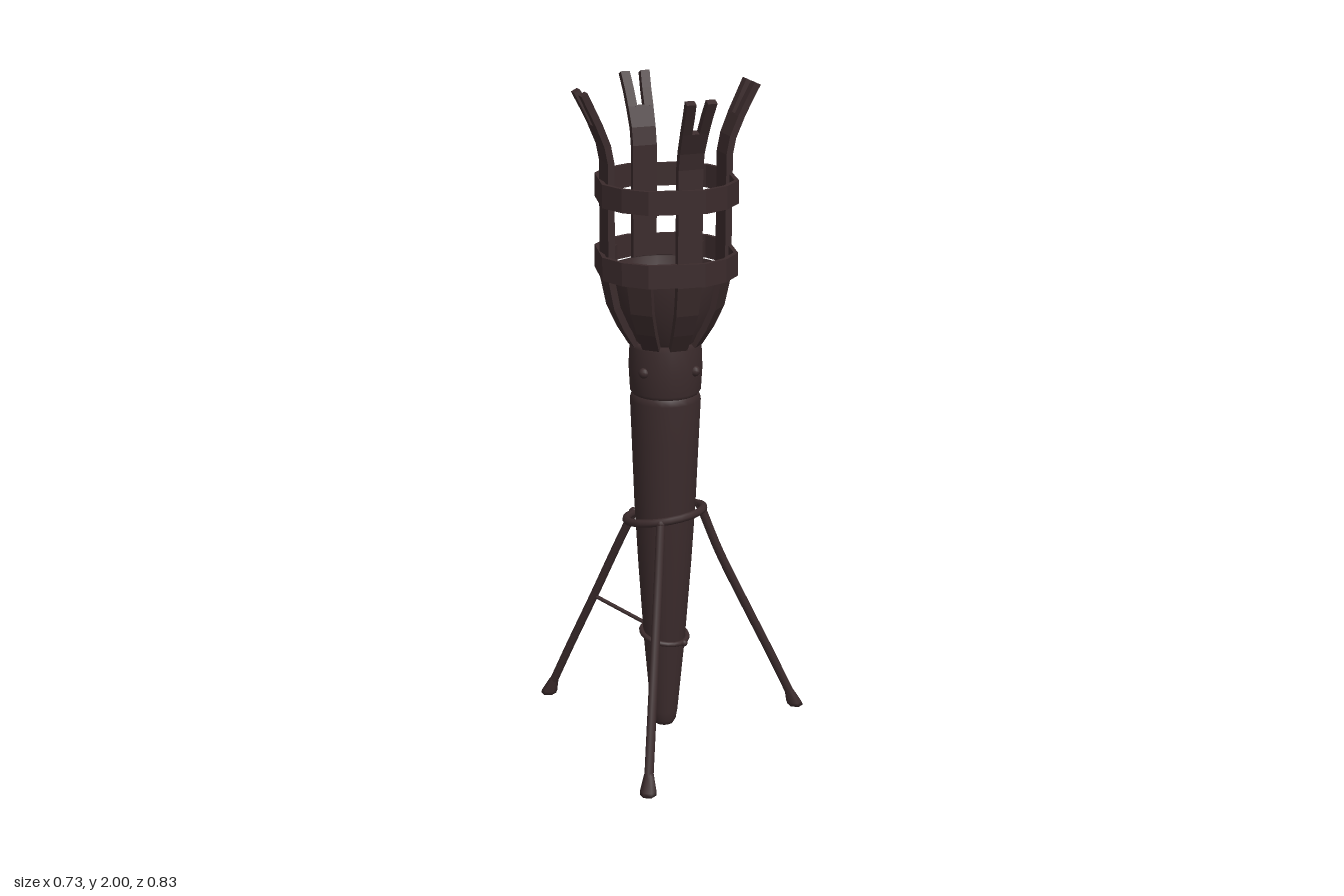
import * as THREE from 'three';

const iron = new THREE.MeshStandardMaterial({ color: 0x3b2b2c });
iron.name = 'dark iron';
const V = (x, y, z) => new THREE.Vector3(x, y, z);

function add(parent, name, geometry) {
  const mesh = new THREE.Mesh(geometry, iron);
  mesh.name = name;
  parent.add(mesh);
  return mesh;
}

// Bent flat bar. Each section is [radius, height, sideways centre, half width].
function bentBar(sections, thickness) {
  const rows = sections.map(([r, y, c, w], i) => {
    const a = sections[Math.max(i - 1, 0)], b = sections[Math.min(i + 1, sections.length - 1)];
    const len = Math.hypot(b[0] - a[0], b[1] - a[1]);
    const nx = (b[1] - a[1]) / len * thickness / 2, ny = -(b[0] - a[0]) / len * thickness / 2;
    return [V(r - nx, y - ny, c - w), V(r + nx, y + ny, c - w), V(r + nx, y + ny, c + w), V(r - nx, y - ny, c + w)];
  });
  const pts = [];
  const quad = (a, b, c, d) => pts.push(a, b, c, a, c, d);
  quad(...rows[0]);
  for (let i = 0; i < rows.length - 1; i++) {
    for (let k = 0; k < 4; k++) {
      const n = (k + 1) % 4;
      quad(rows[i][k], rows[i + 1][k], rows[i + 1][n], rows[i][n]);
    }
  }
  quad(...rows[rows.length - 1].slice().reverse());
  const g = new THREE.BufferGeometry().setFromPoints(pts);
  g.computeVertexNormals();
  return g;
}

// Flat hoop with long sides on the diagonals
function hoopGeometry(outer, inner, height) {
  const ring = (r) => [0, 1, 3, 4, 5, 7, 8, 9, 11, 12, 13, 15].map((k) =>
    new THREE.Vector2(Math.cos(k * Math.PI / 8) * r, Math.sin(k * Math.PI / 8) * r));
  const shape = new THREE.Shape(ring(outer));
  shape.holes.push(new THREE.Path(ring(inner)));
  return new THREE.ExtrudeGeometry(shape, { depth: height, bevelEnabled: false }).rotateX(-Math.PI / 2);
}

const lathe = (points, n) => new THREE.LatheGeometry(points.map(([r, y]) => new THREE.Vector2(r, y)), n);

export function createModel() {
  const model = new THREE.Group();
  model.name = 'standingTorch';
  const torch = new THREE.Group();
  torch.name = 'torch';
  torch.position.x = 0.11;
  model.add(torch);

  // Tapered handle and collar
  add(torch, 'handle', lathe([[0, 0.025], [0.028, 0.026], [0.036, 0.04], [0.041, 0.07], [0.062, 0.3],
    [0.08, 0.55], [0.092, 0.75], [0.1, 0.95], [0.105, 1.07], [0.1, 1.085], [0.097, 1.09]], 24));
  add(torch, 'collar', lathe([[0.097, 1.088], [0.105, 1.1], [0.109, 1.17], [0.106, 1.235], [0.1, 1.25], [0, 1.255]], 24));
  for (let i = 0; i < 4; i++) {
    const rivet = add(torch, 'rivet', new THREE.SphereGeometry(0.016, 10, 8));
    rivet.position.set(Math.cos(i * Math.PI / 2) * 0.106, 1.17, Math.sin(i * Math.PI / 2) * 0.106);
  }

  // Fire bowl
  add(torch, 'bowl', lathe([[0.085, 1.24], [0.105, 1.26], [0.15, 1.36], [0.168, 1.46], [0.16, 1.46],
    [0.142, 1.365], [0.1, 1.29], [0, 1.265]], 24));

  // Eight staves, every other one tall and forked
  const lower = [[0.098, 1.245, 0, 0.026], [0.132, 1.3, 0, 0.03], [0.162, 1.365, 0, 0.034], [0.18, 1.45, 0, 0.037]];
  for (let i = 0; i < 8; i++) {
    const stave = new THREE.Group();
    stave.name = i % 2 ? 'shortStave' : 'forkedStave';
    stave.rotation.y = -(33 + i * 45) * Math.PI / 180;
    torch.add(stave);
    if (i % 2) {
      add(stave, 'staveBar', bentBar([...lower, [0.182, 1.505, 0, 0.039]], 0.018));
      continue;
    }
    add(stave, 'staveBar', bentBar([...lower, [0.181, 1.79, 0, 0.037], [0.191, 1.84, 0, 0.037], [0.216, 1.9, 0, 0.039]], 0.02));
    for (const s of [-1, 1]) {
      add(stave, 'prong', bentBar([[0.214, 1.896, s * 0.025, 0.014], [0.238, 1.945, s * 0.027, 0.014],
        [0.262, 1.992, s * 0.031, 0.014]], 0.02));
    }
  }

  // Hoops
  for (const y of [1.453, 1.665]) add(torch, 'hoop', hoopGeometry(0.213, 0.2, 0.068)).position.y = y;

  // Tilted rings around the handle
  const ring = (name, r, tube, y, tilt, x) => {
    const holder = new THREE.Group();
    holder.name = name;
    holder.position.set(x, y, 0);
    holder.rotation.z = tilt;
    torch.add(holder);
    add(holder, name + 'Band', new THREE.TorusGeometry(r, tube, 8, 24).rotateX(Math.PI / 2));
  };
  ring('standRing', 0.117, 0.012, 0.708, 0.2, 0);
  ring('braceRing', 0.07, 0.008, 0.32, -0.2, 0);

  // Three legs with flared feet
  for (const deg of [180, 60, -60]) {
    const leg = new THREE.Group();
    leg.name = 'leg';
    leg.rotation.y = -deg * Math.PI / 180;
    torch.add(leg);
    const top = deg === 180 ? 0.685 : 0.715;
    const path = new THREE.CatmullRomCurve3([V(0.117, top, 0), V(0.18, 0.56, 0), V(0.27, 0.375, 0), V(0.36, 0.195, 0), V(0.44, 0.03, 0)]);
    add(leg, 'legRod', new THREE.TubeGeometry(path, 16, 0.0135, 8));
    add(leg, 'legTop', new THREE.SphereGeometry(0.0145, 10, 8)).position.set(0.117, top, 0);
    const foot = add(leg, 'foot', lathe([[0, 0], [0.024, 0], [0.024, 0.012], [0.013, 0.06]], 6));
    foot.position.x = 0.453;
    foot.geometry.applyMatrix4(new THREE.Matrix4().makeShear(0, 0, -0.42, 0, 0, 0));
  }

  // Thin brace from the left leg to the small ring
  add(torch, 'brace', new THREE.TubeGeometry(new THREE.LineCurve3(V(-0.272, 0.378, 0), V(-0.07, 0.334, 0)), 1, 0.006, 8));
  add(torch, 'braceKnob', new THREE.SphereGeometry(0.011, 10, 8)).position.set(0.073, 0.305, 0);
  return model;
}
